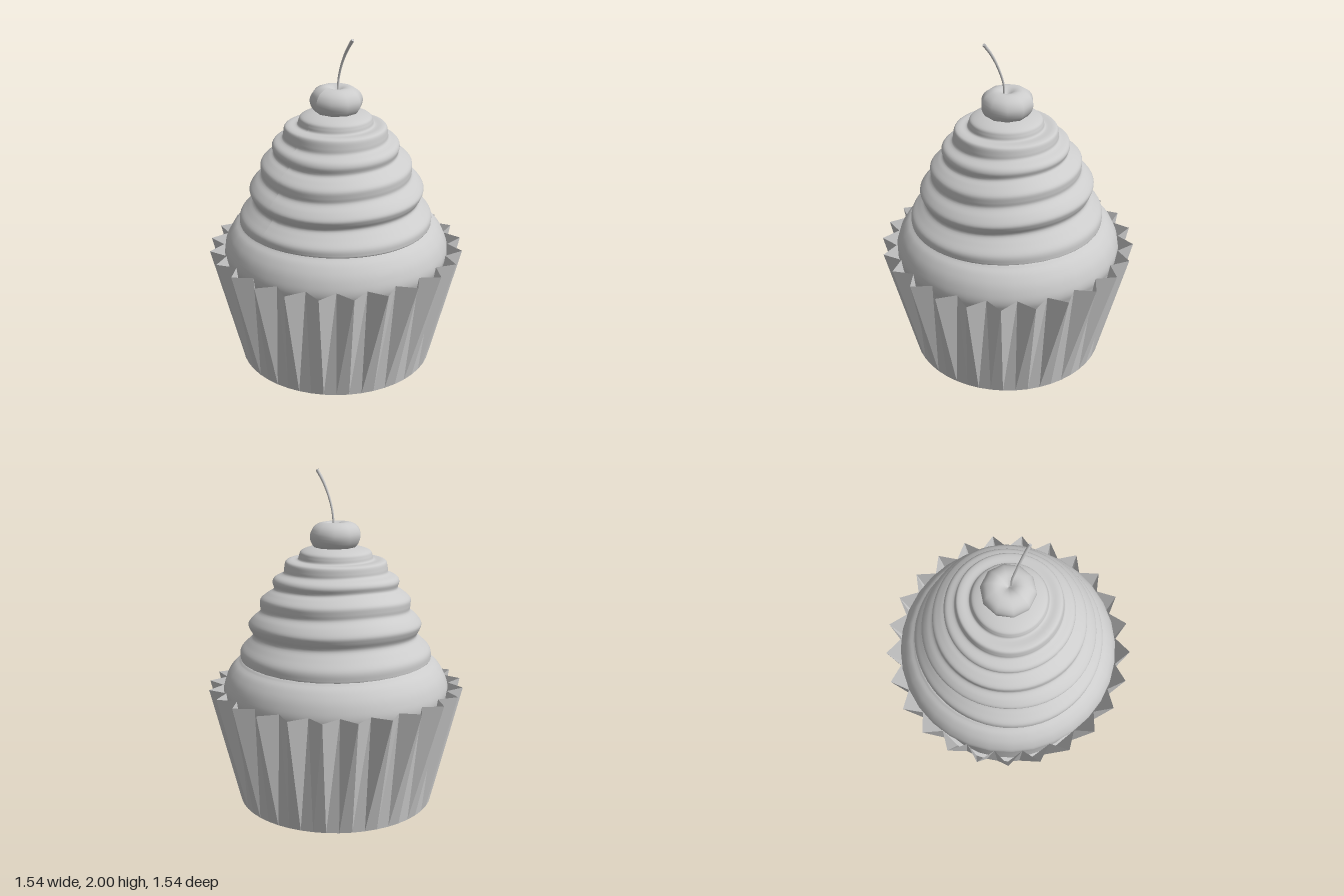
import * as THREE from 'three';

const grey = { color: 0xcccccc };
const smooth = new THREE.MeshStandardMaterial({ ...grey, side: THREE.DoubleSide });
const flat = new THREE.MeshStandardMaterial({ ...grey, side: THREE.DoubleSide, flatShading: true });

function part(name, geometry, material = smooth) {
  const mesh = new THREE.Mesh(geometry, material);
  mesh.name = name;
  return mesh;
}

const vectors = (points) => points.map(([x, y]) => new THREE.Vector2(x, y));

// Smooth lathe through a few profile points, listed from bottom to top
function turned(points, samples, sides) {
  const curve = new THREE.SplineCurve(vectors(points));
  const profile = curve.getPoints(samples).map((p) => p.setX(Math.max(0, p.x)));
  return new THREE.LatheGeometry(profile, sides);
}

// Move every vertex by a rule
function reshape(geometry, rule) {
  const pos = geometry.attributes.position;
  const v = new THREE.Vector3();
  for (let i = 0; i < pos.count; i++) {
    v.fromBufferAttribute(pos, i);
    rule(v, i);
    pos.setXYZ(i, v.x, v.y, v.z);
  }
  geometry.computeVertexNormals();
  return geometry;
}

// Pleated paper cup: round at the base, 25 sharp pleats at the rim
function wrapperGeometry() {
  const pleats = 25, height = 0.72, columns = pleats * 2;
  const cup = new THREE.CylinderGeometry(1, 1, height, columns, 1, true, -Math.PI / 2);
  cup.translate(0, height / 2, 0);
  reshape(cup, (v, i) => {
    const isTip = (i % (columns + 1)) % 2 === 0;
    const r = v.y < 0.01 ? 0.595 : isTip ? 0.773 : 0.685;
    v.x *= r;
    v.z *= r;
  });
  const faceted = cup.toNonIndexed();
  faceted.computeVertexNormals();
  return faceted;
}

// Piped icing: stacked ridges, leaning slightly so that they wind round
function icingGeometry() {
  const lower = [
    [0.5, 0.878], [0.568, 0.878], [0.578, 0.9], [0.572, 0.94], [0.53, 0.985], [0.495, 1.025],
    [0.512, 1.065], [0.52, 1.1], [0.49, 1.14], [0.45, 1.175], [0.45, 1.21], [0.447, 1.25],
    [0.405, 1.285], [0.37, 1.31], [0.378, 1.35], [0.362, 1.378], [0.315, 1.4], [0.308, 1.43],
    [0.3, 1.467], [0.275, 1.478], [0.228, 1.48], [0.218, 1.505], [0.205, 1.53], [0.15, 1.55],
    [0.08, 1.56], [0, 1.56],
  ];
  const icing = turned(lower, 110, 64);
  return reshape(icing, (v) => {
    const r = Math.hypot(v.x, v.z);
    if (r < 1e-4) return;
    const angle = Math.atan2(v.z, v.x);
    const middle = Math.sin(Math.PI * THREE.MathUtils.clamp((v.y - 0.88) / 0.6, 0, 1));
    const wobble = 1 + 0.008 * Math.sin(3 * angle + v.y * 9);
    v.x = v.x * wobble + 0.006;
    v.z = v.z * wobble + 0.006;
    v.y -= middle * 0.026 * Math.cos(angle - Math.PI / 4);
    v.y += 0.004 * Math.sin(4 * angle) * middle;
  });
}

// Curved stalk that widens towards its cut end
function stalkGeometry() {
  const path = new THREE.CatmullRomCurve3([
    new THREE.Vector3(0.02, 1.65, 0.005),
    new THREE.Vector3(0.025, 1.74, 0.005),
    new THREE.Vector3(0.053, 1.83, 0.01),
    new THREE.Vector3(0.1, 1.925, 0.013),
    new THREE.Vector3(0.15, 1.995, 0.015),
  ]);
  const rings = 16, sides = 6;
  const tube = new THREE.TubeGeometry(path, rings, 0.007, sides, false);
  return reshape(tube, (v, i) => {
    const t = Math.floor(i / (sides + 1)) / rings;
    const centre = path.getPointAt(t);
    v.sub(centre).multiplyScalar(0.85 + 0.6 * t * t).add(centre);
  });
}

export function createModel() {
  const model = new THREE.Group();
  model.name = 'cupcake';

  // Paper cup
  const base = new THREE.CircleGeometry(0.595, 50);
  base.rotateX(Math.PI / 2);
  model.add(part('wrapper', wrapperGeometry(), flat), part('wrapperBase', base));

  // Sponge with a rounded top
  const sponge = turned([
    [0.575, 0.03], [0.62, 0.35], [0.66, 0.6], [0.682, 0.69], [0.67, 0.76],
    [0.64, 0.82], [0.59, 0.87], [0.5, 0.9], [0, 0.93],
  ], 40, 32);
  model.add(part('sponge', sponge));

  model.add(part('icing', icingGeometry()));

  // Cherry with a dimple round its stalk
  const cherry = turned([
    [0, 1.525], [0.085, 1.532], [0.135, 1.565], [0.156, 1.62],
    [0.137, 1.67], [0.09, 1.698], [0.045, 1.695], [0, 1.665],
  ], 24, 10);
  reshape(cherry, (v) => {
    v.y -= v.x * 0.03;
    v.x += 0.003;
  });
  model.add(part('cherry', cherry), part('cherryStalk', stalkGeometry()));

  // Cut end of the stalk
  const tip = new THREE.CircleGeometry(0.01, 6);
  tip.rotateX(-Math.PI / 2);
  tip.rotateZ(-0.62);
  tip.translate(0.15, 1.995, 0.015);
  model.add(part('stalkEnd', tip));

  return model;
}
